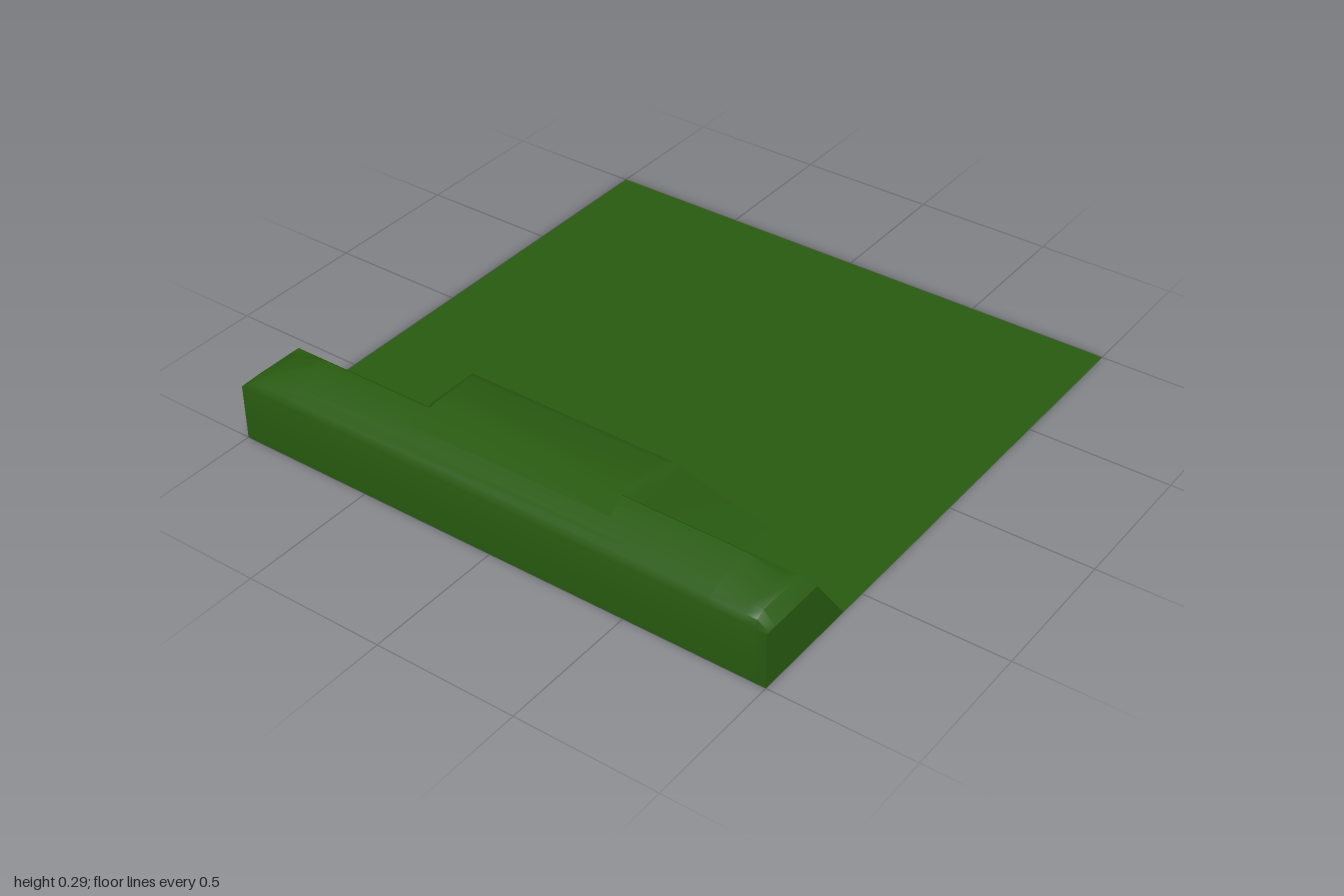
import * as THREE from 'three';
import { toCreasedNormals } from 'three/addons/utils/BufferGeometryUtils.js';

// Skin a list of equally long point rows with quads
function loft(rows) {
  const n = rows[0].length;
  const index = [];
  for (let i = 0; i < rows.length - 1; i++) {
    for (let j = 0; j < n - 1; j++) {
      const a = i * n + j, b = a + n;
      index.push(a, a + 1, b, a + 1, b + 1, b);
    }
  }
  const geometry = new THREE.BufferGeometry();
  geometry.setAttribute('position', new THREE.Float32BufferAttribute(rows.flat(2), 3));
  geometry.setIndex(index);
  return toCreasedNormals(geometry, 0.75);
}

export function createModel() {
  const group = new THREE.Group();
  const green = new THREE.MeshStandardMaterial({ color: 0x285a10, side: THREE.DoubleSide });
  const add = (name, geometry) => {
    const mesh = new THREE.Mesh(geometry, green);
    mesh.name = name;
    group.add(mesh);
  };

  // Flat ground tile
  add('ground', new THREE.PlaneGeometry(2, 2).rotateX(-Math.PI / 2));

  // Bank along the front edge: [z, y] profile, lowered towards both ends
  const profile = [[0.6, 0], [0.75, 0.2], [0.78, 0.24], [0.82, 0.277], [0.96, 0.245], [0.99, 0.225], [1, 0.2], [1, 0]];
  const section = (x, top) => profile.map(([z, y]) => [x, Math.min(y, top), z]);
  const endCentre = (x) => profile.map(() => [x, 0, 0.9]);
  add('frontBank', loft([
    endCentre(-1),
    section(-1, 0.2), section(-0.96, 0.24), section(-0.92, 0.245), section(-0.8, 0.277),
    section(0.8, 0.277), section(0.92, 0.245), section(0.96, 0.24), section(1, 0.2),
    endCentre(1),
  ]));

  // Wider middle of the bank: [z, y, half width], with sloping sides 0.2 deep
  const steps = [[0.4, 0, 0.6], [0.575, 0.24, 0.41], [0.595, 0.27, 0.39], [0.63, 0.287, 0.365]];
  const rows = steps.map(([z, y, w]) => [[w, y, z + 0.2], [w, y, z], [-w, y, z], [-w, y, z + 0.2]]);
  for (const [z, y, w] of [[0.8, 0.287, 0.365], [0.97, 0.239, 0.4]]) {
    rows.push([[w, y, z], [w, y, z], [-w, y, z], [-w, y, z]]);
  }
  add('middleBank', loft(rows));

  return group;
}
